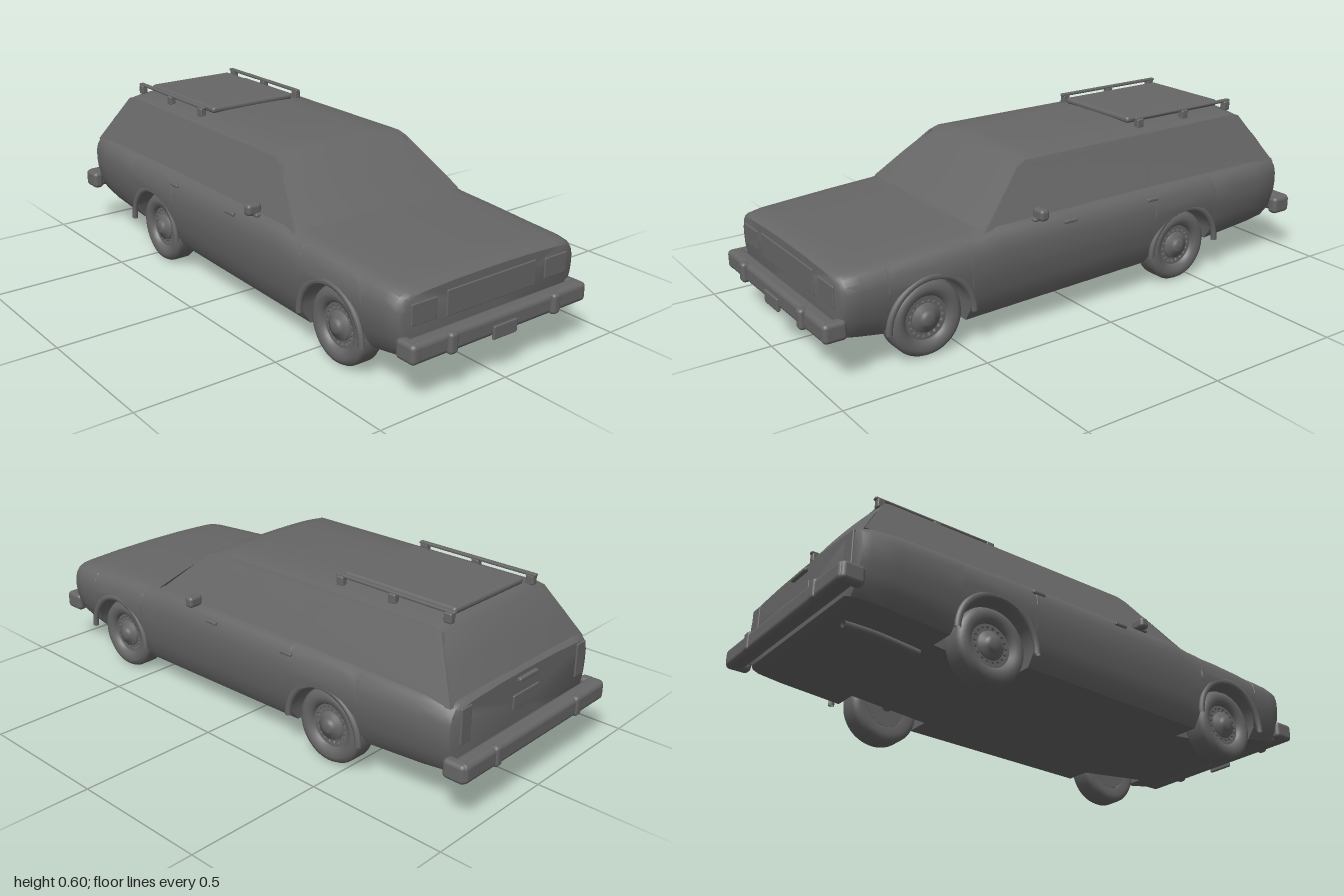
import * as THREE from 'three';
import { toCreasedNormals } from 'three/addons/utils/BufferGeometryUtils.js';
import { RoundedBoxGeometry } from 'three/addons/geometries/RoundedBoxGeometry.js';

const grey = new THREE.MeshStandardMaterial({ color: 0x666666, side: THREE.DoubleSide });
grey.name = 'plain grey';
const WHEELS = [-0.43, 0.625], ARCH = 0.148, AXLE = 0.132;

function add(parent, name, geo, x = 0, y = 0, z = 0) {
  const m = new THREE.Mesh(geo, grey);
  m.name = name;
  m.position.set(x, y, z);
  parent.add(m);
  return m;
}
const rbox = (w, h, d, r = 0.01) => new RoundedBoxGeometry(w, h, d, 3, r);

// linear lookup in a table of [key, value]
function look(table, k) {
  for (let i = 1; i < table.length; i++) {
    const [a, b] = [table[i - 1], table[i]];
    if (k <= b[0]) return THREE.MathUtils.lerp(a[1], b[1], THREE.MathUtils.clamp((k - a[0]) / (b[0] - a[0]), 0, 1));
  }
  return table[table.length - 1][1];
}

// skin a list of equally long rows of [x, y, z]
function skin(rows, crease = 0.6) {
  const n = rows[0].length, idx = [];
  for (let i = 0; i < rows.length - 1; i++) for (let j = 0; j < n - 1; j++) {
    const a = i * n + j, b = a + 1, c = a + n, d = c + 1;
    idx.push(a, b, c, b, d, c);
  }
  const g = new THREE.BufferGeometry();
  g.setAttribute('position', new THREE.Float32BufferAttribute(rows.flat(2), 3));
  g.setIndex(idx);
  return toCreasedNormals(g, crease);
}

// lower body cross-section at x, with wheel wells and an open cabin tub
const FLOOR = [[-0.92, 0.15], [-0.58, 0.125], [-0.28, 0.1], [0.48, 0.082], [0.77, 0.115], [0.93, 0.14]];
const TOP = [[-0.93, 0.38], [-0.86, 0.388], [0.36, 0.385], [0.43, 0.373], [0.88, 0.348], [0.93, 0.338]];
const WIDTH = [[-0.93, 0.94], [-0.82, 0.98], [-0.3, 1], [0.6, 0.99], [0.86, 0.965], [0.93, 0.94]];
const SIDE = [[0, 0.345], [0.15, 0.373], [0.45, 0.394], [0.7, 0.4], [0.86, 0.39], [0.95, 0.374], [1, 0.35]];
function bodyRing(x, s, cabin) {
  const yb = look(FLOOR, x), yt = look(TOP, x), w = look(WIDTH, x);
  let ya = yb;
  for (const c of WHEELS) {
    const d = Math.abs(x - c);
    if (d <= ARCH) ya = Math.max(yb, AXLE + Math.sqrt(ARCH * ARCH - d * d));
  }
  const half = [[0, yb], [0.25, yb], [0.25, ya]], va = (ya - yb) / (yt - yb);
  for (const t of [0, 0.15, 0.3, 0.45, 0.6, 0.75, 0.86, 0.95, 1]) {
    const v = va + (1 - va) * t;
    half.push([w * look(SIDE, v), yb + v * (yt - yb)]);
  }
  if (cabin) half.push([0.33, yt], [0.33, 0.16], [0, 0.16]);
  else half.push([0.31 * w, yt + 0.004], [0.16, yt + 0.01], [0, yt + 0.012]);
  const ring = [...half, ...half.slice(0, -1).reverse().map(([z, y]) => [-z, y])];
  const mid = (yb + yt) / 2;
  return ring.map(([z, y]) => [x, mid + (y - mid) * s, z * s]);
}
function lowerBody() {
  const st = [[-0.928, 0], [-0.926, 0.93], [-0.915, 0.98], [-0.89, 1], [-0.8, 1], [-0.68, 1],
    [-0.271, 1], [-0.27, 1, true], [-0.1, 1, true], [0.1, 1, true], [0.36, 1, true], [0.361, 1],
    [0.43, 1], [0.8, 1], [0.86, 1], [0.905, 1], [0.918, 0.98], [0.925, 0.94], [0.927, 0]];
  for (const c of WHEELS) {
    st.push([c - ARCH - 0.001, 1], [c + ARCH + 0.001, 1]);
    for (let i = 0; i <= 20; i++) st.push([c - ARCH * Math.cos(Math.PI * i / 20), 1]);
  }
  st.sort((a, b) => a[0] - b[0]);
  return skin(st.map(([x, s, cab]) => bodyRing(x, s, cab)));
}

// windscreen, roof and tailgate window as one curved sheet
function roofSheet() {
  // x, y, half width, drop at the edge, bow
  const st = [[-0.922, 0.37, 0.352, 0, -0.015], [-0.868, 0.46, 0.312, 0, -0.015], [-0.808, 0.55, 0.27, 0.004, -0.015],
    [-0.785, 0.567, 0.266, 0.014, -0.01], [-0.75, 0.574, 0.265, 0.022, 0], [-0.32, 0.574, 0.265, 0.022, 0],
    [0.14, 0.568, 0.265, 0.018, 0], [0.195, 0.56, 0.267, 0.012, 0.005], [0.23, 0.54, 0.276, 0.004, 0.012],
    [0.33, 0.46, 0.314, 0, 0.015], [0.44, 0.376, 0.354, 0, 0.025]];
  return skin(st.map(([x, y, hw, drop, bow]) => Array.from({ length: 17 }, (_, i) => {
    const u = Math.sin((i / 8 - 1) * Math.PI / 2);
    return [x - bow * u * u, y - drop * u ** 4, hw * u];
  })));
}

// leaning side wall made from a flat outline
const lean = y => 0.352 - (y - 0.385) * 0.5;
function leaning(shape, depth, inset) {
  const g = new THREE.ExtrudeGeometry(shape, { depth, bevelEnabled: false });
  const p = g.attributes.position;
  for (let i = 0; i < p.count; i++) p.setZ(i, lean(p.getY(i)) - inset - depth + p.getZ(i));
  g.computeVertexNormals();
  return g;
}
// polygon with rounded corners
function rounded(pts, r, Type = THREE.Path) {
  const s = new Type(), v = pts.map(p => new THREE.Vector2(...p));
  v.forEach((p, i) => {
    const a = v[(i + v.length - 1) % v.length], b = v[(i + 1) % v.length];
    const q = p.clone().add(a.clone().sub(p).setLength(r)), e = p.clone().add(b.clone().sub(p).setLength(r));
    if (i) s.lineTo(q.x, q.y); else s.moveTo(q.x, q.y);
    s.quadraticCurveTo(p.x, p.y, e.x, e.y);
  });
  s.closePath();
  return s;
}

function wheel() {
  const g = new THREE.Group();
  g.name = 'wheel';
  // tyre
  const prof = [[0.075, -0.045], [0.105, -0.05], [0.122, -0.042], [0.13, -0.028], [0.13, 0.028], [0.122, 0.042],
    [0.105, 0.05], [0.085, 0.045], [0.076, 0.034], [0.072, 0.02]].map(p => new THREE.Vector2(...p));
  add(g, 'tyre', new THREE.LatheGeometry(prof, 40).rotateX(Math.PI / 2));
  // slotted rim
  const disc = new THREE.Shape().absarc(0, 0, 0.077, 0, Math.PI * 2);
  for (let i = 0; i < 18; i++) {
    const a = i * Math.PI / 9;
    disc.holes.push(new THREE.Path().absarc(0.06 * Math.cos(a), 0.06 * Math.sin(a), 0.006, 0, Math.PI * 2, true));
  }
  add(g, 'slottedRim', new THREE.ExtrudeGeometry(disc, { depth: 0.006, bevelEnabled: false, curveSegments: 20 }), 0, 0, 0.022);
  const cap = [[0.05, 0], [0.047, 0.01], [0.03, 0.013], [0.026, 0.022], [0.015, 0.027], [0, 0.028]].map(p => new THREE.Vector2(...p));
  add(g, 'hubCap', new THREE.LatheGeometry(cap, 28).rotateX(Math.PI / 2), 0, 0, 0.027);
  add(g, 'brakeDrum', new THREE.CylinderGeometry(0.074, 0.074, 0.04, 24).rotateX(Math.PI / 2), 0, 0, -0.025);
  return g;
}

function sideParts() {
  const g = new THREE.Group();
  g.name = 'carSide';
  // window openings; the front one stays open
  const front = [[0.02, 0.385], [0.305, 0.385], [0.205, 0.52], [0.01, 0.525]];
  const door = [[-0.27, 0.385], [-0.055, 0.385], [-0.06, 0.525], [-0.28, 0.527]];
  const quarter = [[-0.845, 0.392], [-0.355, 0.392], [-0.36, 0.53], [-0.765, 0.53]];
  const wall = new THREE.Shape([[0.41, 0.37], [0.225, 0.535], [0.19, 0.549], [-0.77, 0.553], [-0.795, 0.547], [-0.905, 0.37]]
    .map(p => new THREE.Vector2(...p)));
  wall.holes = [front, door, quarter].map(w => rounded(w, 0.02));
  add(g, 'windowFrame', leaning(wall, 0.014, 0));
  add(g, 'rearDoorGlass', leaning(rounded(door, 0.018, THREE.Shape), 0.003, 0.006));
  add(g, 'quarterGlass', leaning(rounded(quarter, 0.018, THREE.Shape), 0.003, 0.006));
  const bar = x => new THREE.Shape([[x, 0.38], [x + 0.01, 0.38], [x + 0.006, 0.525], [x - 0.004, 0.525]].map(p => new THREE.Vector2(...p)));
  add(g, 'rearDoorBar', leaning(bar(-0.215), 0.006, 0.002));
  add(g, 'ventBar', leaning(bar(0.222), 0.006, 0.004));
  // wing mirror
  add(g, 'mirror', rbox(0.035, 0.04, 0.055, 0.012), 0.2, 0.395, 0.372);
  add(g, 'mirrorStalk', rbox(0.03, 0.012, 0.05, 0.005), 0.215, 0.378, 0.352);
  for (const x of [-0.27, 0.09]) add(g, 'doorHandle', rbox(0.05, 0.012, 0.014, 0.004), x, 0.352, 0.388);
  // roof rack rail
  add(g, 'roofRail', rbox(0.47, 0.01, 0.018, 0.004), -0.565, 0.594, 0.213);
  for (const x of [-0.78, -0.565, -0.35]) add(g, 'railFoot', rbox(0.03, 0.035, 0.024, 0.006), x, 0.576, 0.215);
  for (const x of WHEELS) {
    const w = wheel();
    w.position.set(x, AXLE, 0.315);
    g.add(w);
    add(g, 'archLip', new THREE.TorusGeometry(ARCH + 0.006, 0.012, 8, 28, Math.PI), x, AXLE, 0.387).scale.z = 0.8;
  }
  // bumper guards and wrapped ends
  add(g, 'frontGuard', rbox(0.03, 0.07, 0.035, 0.012), 0.984, 0.182, 0.22);
  add(g, 'rearGuard', rbox(0.03, 0.07, 0.035, 0.012), -0.98, 0.193, 0.22);
  add(g, 'frontBumperEnd', rbox(0.08, 0.065, 0.04, 0.015), 0.945, 0.18, 0.352);
  add(g, 'rearBumperEnd', rbox(0.08, 0.065, 0.04, 0.015), -0.945, 0.192, 0.37);
  add(g, 'headlamp', rbox(0.008, 0.07, 0.1, 0.003), 0.926, 0.275, 0.28);
  add(g, 'tailLamp', rbox(0.01, 0.12, 0.05, 0.004), -0.926, 0.31, 0.31);
  return g;
}

export function createModel() {
  const car = new THREE.Group();
  car.name = 'stationWagon';
  add(car, 'lowerBody', lowerBody());
  add(car, 'roofAndScreens', roofSheet());
  add(car, 'raisedRoofPanel', rbox(0.45, 0.024, 0.36, 0.011), -0.55, 0.58, 0);

  const near = sideParts(), far = sideParts();
  far.scale.z = -1;
  car.add(near, far);

  // bumpers
  add(car, 'frontBumper', rbox(0.055, 0.068, 0.72, 0.018), 0.957, 0.18, 0);
  add(car, 'rearBumper', rbox(0.06, 0.068, 0.77, 0.018), -0.96, 0.192, 0);
  add(car, 'frontPlate', rbox(0.012, 0.045, 0.1, 0.004), 0.985, 0.16, 0);
  add(car, 'grille', rbox(0.008, 0.085, 0.38, 0.003), 0.926, 0.275, 0);
  // tailgate details
  add(car, 'rearPlate', rbox(0.012, 0.05, 0.14, 0.004), -0.926, 0.29, 0);
  add(car, 'tailgateHandle', rbox(0.02, 0.014, 0.1, 0.005), -0.928, 0.362, 0);
  // underside
  for (const x of WHEELS) add(car, 'axle', new THREE.CylinderGeometry(0.02, 0.02, 0.56, 12).rotateX(Math.PI / 2), x, AXLE, 0);
  const pipe = new THREE.CatmullRomCurve3([[-0.6, 0.11, 0.2], [-0.75, 0.125, 0.2], [-0.88, 0.115, 0.22]].map(p => new THREE.Vector3(...p)));
  add(car, 'exhaust', new THREE.TubeGeometry(pipe, 12, 0.012, 10));
  // cabin
  for (const z of [-0.16, 0.16]) {
    add(car, 'seat', rbox(0.2, 0.1, 0.28, 0.03), 0.05, 0.22, z);
    add(car, 'seatBack', rbox(0.06, 0.25, 0.28, 0.03), -0.045, 0.32, z).rotation.z = 0.15;
  }
  add(car, 'dashboard', rbox(0.12, 0.12, 0.64, 0.03), 0.32, 0.32, 0);
  const steer = add(car, 'steeringWheel', new THREE.TorusGeometry(0.048, 0.006, 8, 24), 0.2, 0.385, -0.17);
  steer.rotation.set(0, Math.PI / 2, 0.4, 'ZYX');
  const column = add(car, 'steeringColumn', new THREE.CylinderGeometry(0.009, 0.009, 0.1, 8), 0.245, 0.366, -0.17);
  column.rotation.z = 1.17;
  return car;
}
